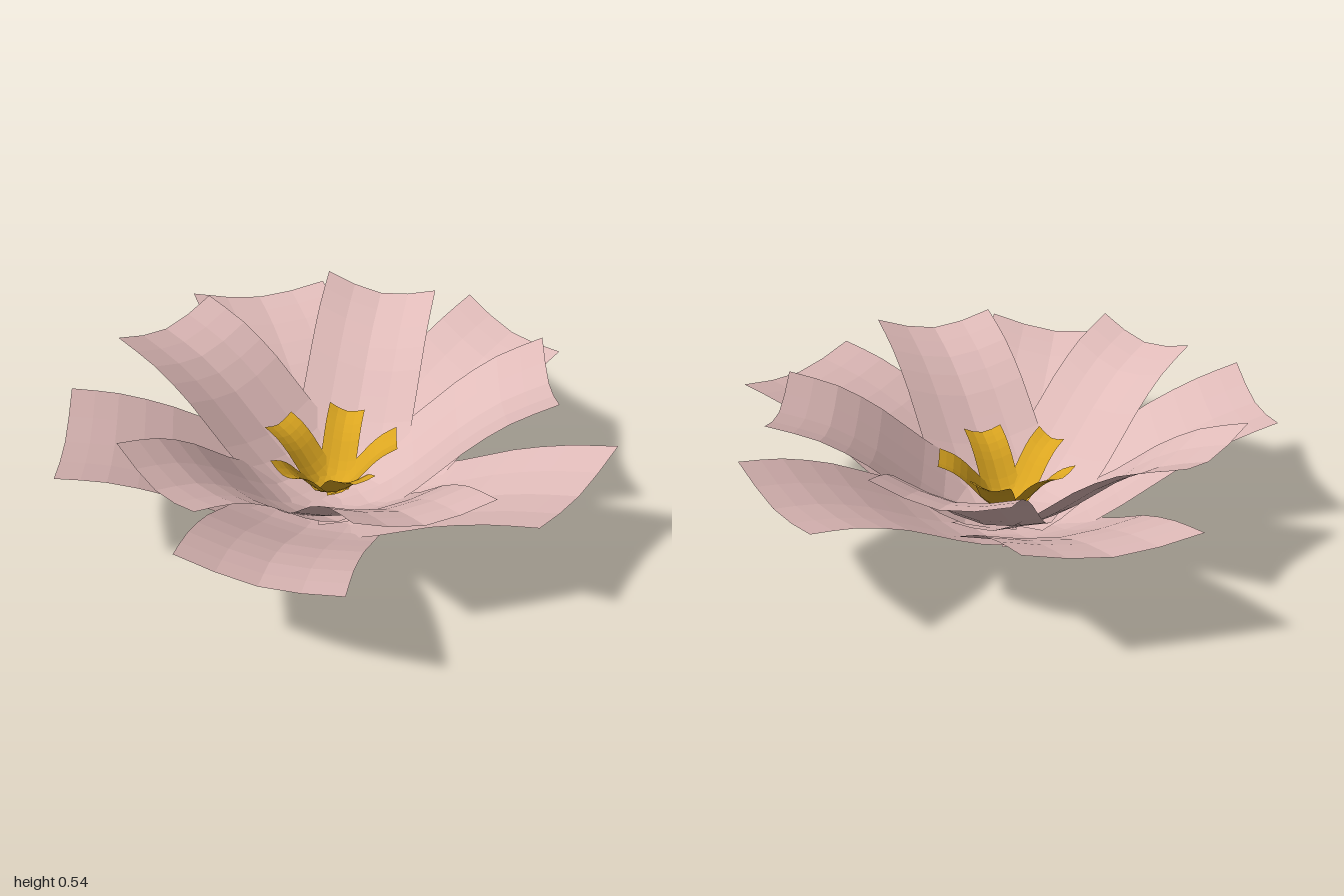
import * as THREE from 'three';

const PETAL = new THREE.MeshStandardMaterial({ color: 0xe0bbb9, flatShading: true, side: THREE.DoubleSide });
const STAMEN = new THREE.MeshStandardMaterial({ color: 0xdaa520, flatShading: true, side: THREE.DoubleSide });

// profile: [radius, height] along the midline; width and lift shape the channelled cross-section;
// sway bends the petal sideways towards its tip
function petalGeometry({ profile, width, lift, sway }) {
  const across = 4, along = 10;
  const curve = new THREE.CatmullRomCurve3(profile.map(([r, y]) => new THREE.Vector3(r, y, 0)));
  const geo = new THREE.PlaneGeometry(1, 1, across, along);
  const pos = geo.attributes.position;
  for (let i = 0; i < pos.count; i++) {
    const u = pos.getX(i) * 2;
    const t = pos.getY(i) + 0.5;
    const p = curve.getPoint(t);
    const side = 0.02 - sway * Math.pow(t, 1.25);
    pos.setXYZ(i, p.x, p.y + lift * Math.pow(Math.abs(u), 1.6), side + u * width / 2);
  }
  geo.computeVertexNormals();
  return geo;
}

// one ring of five petals, angles in degrees from +x towards +z
function whorl(name, shape, angles, material) {
  const group = new THREE.Group();
  group.name = name + 's';
  const geo = petalGeometry(shape);
  for (const a of angles) {
    const mesh = new THREE.Mesh(geo, material);
    mesh.name = name;
    mesh.rotation.y = -THREE.MathUtils.degToRad(a);
    group.add(mesh);
  }
  return group;
}

export function createModel() {
  const flower = new THREE.Group();
  flower.name = 'flower';

  const outer = {
    profile: [[-0.04, 0], [0.18, 0.025], [0.4, 0.13], [0.6, 0.25], [0.8, 0.34], [0.97, 0.39]],
    width: 0.57, lift: 0.047, sway: 0.13,
  };
  const inner = {
    profile: [[-0.04, 0.008], [0.15, 0.04], [0.32, 0.155], [0.48, 0.3], [0.64, 0.41], [0.815, 0.48]],
    width: 0.475, lift: 0.058, sway: 0.115,
  };
  const innerAngles = [-56, 13.4, 87.6, 153.5, 235];

  flower.add(whorl('outerPetal', outer, [-90, -20.7, 49.3, 122, 188], PETAL));
  flower.add(whorl('innerPetal', inner, innerAngles, PETAL));

  // the golden centre repeats the inner ring at a small scale
  const stamens = whorl('stamen', inner, innerAngles, STAMEN);
  stamens.scale.set(0.31, 0.42, 0.31);
  stamens.position.y = 0.04;
  flower.add(stamens);

  flower.position.set(0.04, 0, -0.01);
  const model = new THREE.Group();
  model.add(flower);
  return model;
}
